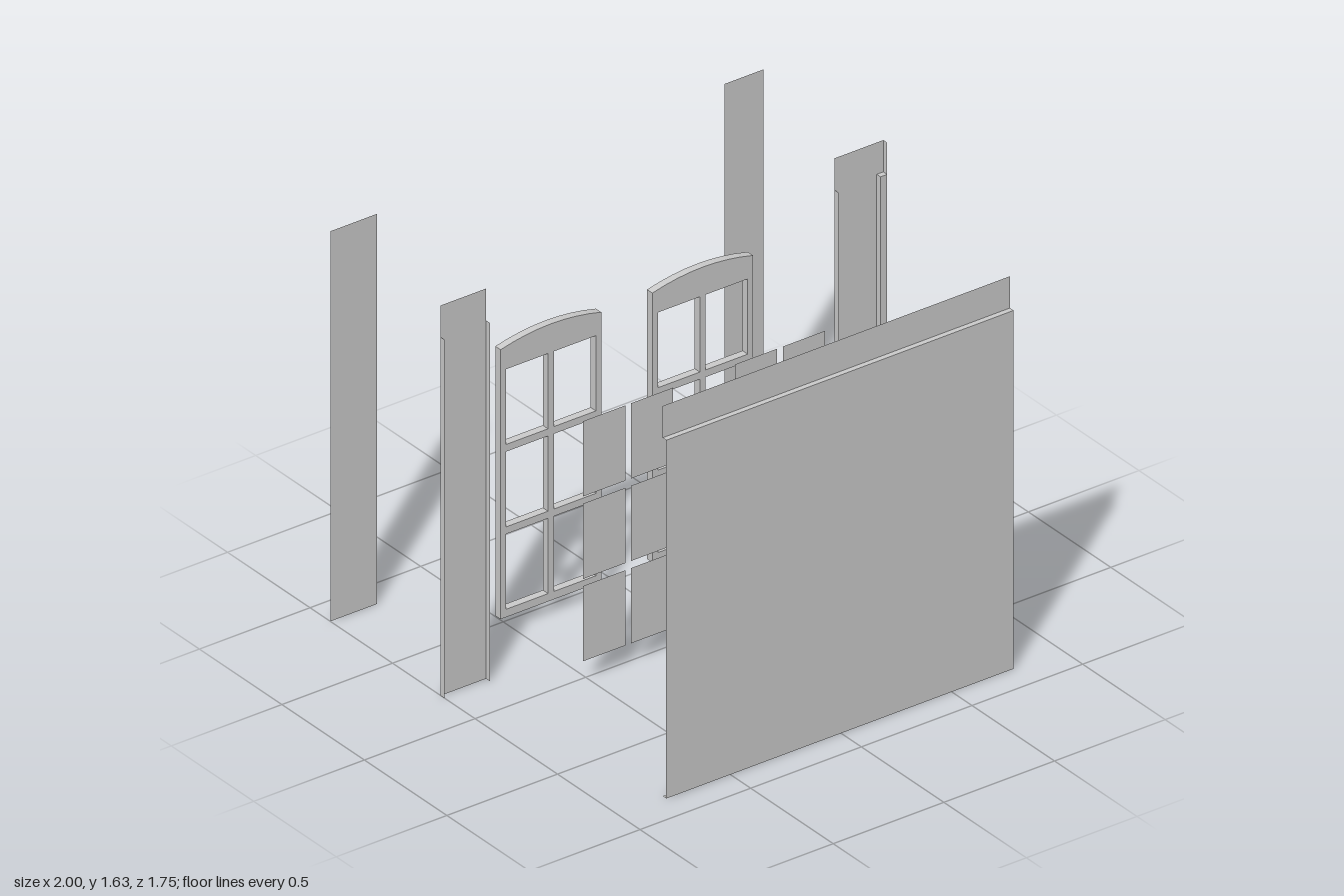
import * as THREE from 'three';

const material = new THREE.MeshStandardMaterial({ color: 0xcccccc, side: THREE.DoubleSide });
const TOP = 1.633, LINTEL = 1.5;

// Thin rectangle between two corners; one of the three extents is zero
function sheet(parent, name, [x0, x1], [y0, y1], [z0, z1]) {
  const w = x1 - x0, h = y1 - y0, d = z1 - z0;
  let geometry;
  if (d === 0) geometry = new THREE.PlaneGeometry(w, h);
  else if (w === 0) geometry = new THREE.PlaneGeometry(d, h).rotateY(Math.PI / 2);
  else geometry = new THREE.PlaneGeometry(w, d).rotateX(-Math.PI / 2);
  const mesh = new THREE.Mesh(geometry, material);
  mesh.position.set((x0 + x1) / 2, (y0 + y1) / 2, (z0 + z1) / 2);
  mesh.name = name;
  parent.add(mesh);
}

function group(parent, name) {
  const g = new THREE.Group();
  g.name = name;
  parent.add(g);
  return g;
}

// Pane rectangles of one window, relative to its centre line: two columns, three rows
const panes = [];
for (const x of [-0.203, 0.013]) {
  for (let row = 0; row < 3; row++) {
    const y = 0.1 + row * 0.345;
    panes.push({ x0: x, x1: x + 0.19, y0: y, y1: y + 0.315 });
  }
}

// Arched frame with six openings
function frameGeometry() {
  const half = 0.2275;
  const shape = new THREE.Shape();
  shape.moveTo(-half, 0.067);
  shape.lineTo(half, 0.067);
  shape.lineTo(half, 1.195);
  shape.quadraticCurveTo(0, 1.255, -half, 1.195);
  shape.closePath();
  for (const p of panes) {
    shape.holes.push(new THREE.Path([
      new THREE.Vector2(p.x0, p.y0), new THREE.Vector2(p.x0, p.y1),
      new THREE.Vector2(p.x1, p.y1), new THREE.Vector2(p.x1, p.y0),
    ]));
  }
  return new THREE.ExtrudeGeometry(shape, { depth: 0.032, bevelEnabled: false, curveSegments: 8 });
}

export function createModel() {
  const model = new THREE.Group();
  model.name = 'explodedWindowWall';

  // Front panel: a face with top and bottom returns, and the header behind it
  const front = group(model, 'frontPanel');
  const span = [-0.79, 0.78], depth = [0.855, 0.877];
  sheet(front, 'panelFace', span, [0, LINTEL], [0.877, 0.877]);
  sheet(front, 'panelTop', span, [LINTEL, LINTEL], depth);
  sheet(front, 'panelBottom', span, [0, 0], depth);
  sheet(front, 'header', span, [LINTEL, TOP], [0.855, 0.855]);

  // Rear planks
  sheet(model, 'rearPlankRight', [-1, -0.79], [0, TOP], [-0.877, -0.877]);
  sheet(model, 'rearPlankLeft', [0.78, 0.957], [0, TOP], [-0.877, -0.877]);

  // Right pillar with a flange on each edge
  const zBack = [-0.208, -0.208], zFront = [-0.185, -0.185], zFlange = [-0.208, -0.185];
  const right = group(model, 'rightPillar');
  sheet(right, 'pillarFace', [-1, -0.795], [0, TOP], zBack);
  for (const x of [-1, -0.795]) sheet(right, 'flange', [x, x], [0, LINTEL], zFlange);

  // Left pillar, stepped forward along its outer edge
  const left = group(model, 'leftPillar');
  sheet(left, 'pillarFace', [0.78, 0.97], [0, TOP], zBack);
  sheet(left, 'topTab', [0.97, 1], [LINTEL, TOP], zBack);
  sheet(left, 'tabSide', [1, 1], [LINTEL, TOP], zFlange);
  for (const x of [0.78, 0.97]) sheet(left, 'flange', [x, x], [0, LINTEL], zFlange);
  sheet(left, 'outerStrip', [0.97, 1], [0, LINTEL], zFront);
  for (const y of [0, LINTEL]) sheet(left, 'stripCap', [0.97, 1], [y, y], zFlange);

  // Two window frames, each with its glass drawn forward
  const frame = frameGeometry();
  for (const [side, x] of [['right', -0.338], ['left', 0.348]]) {
    const mesh = new THREE.Mesh(frame, material);
    mesh.name = side + 'WindowFrame';
    mesh.position.set(x, 0, -0.46);
    model.add(mesh);
    const glass = group(model, side + 'Glass');
    glass.position.x = x;
    for (const p of panes) sheet(glass, 'pane', [p.x0, p.x1], [p.y0, p.y1], [0.04, 0.04]);
  }
  return model;
}
